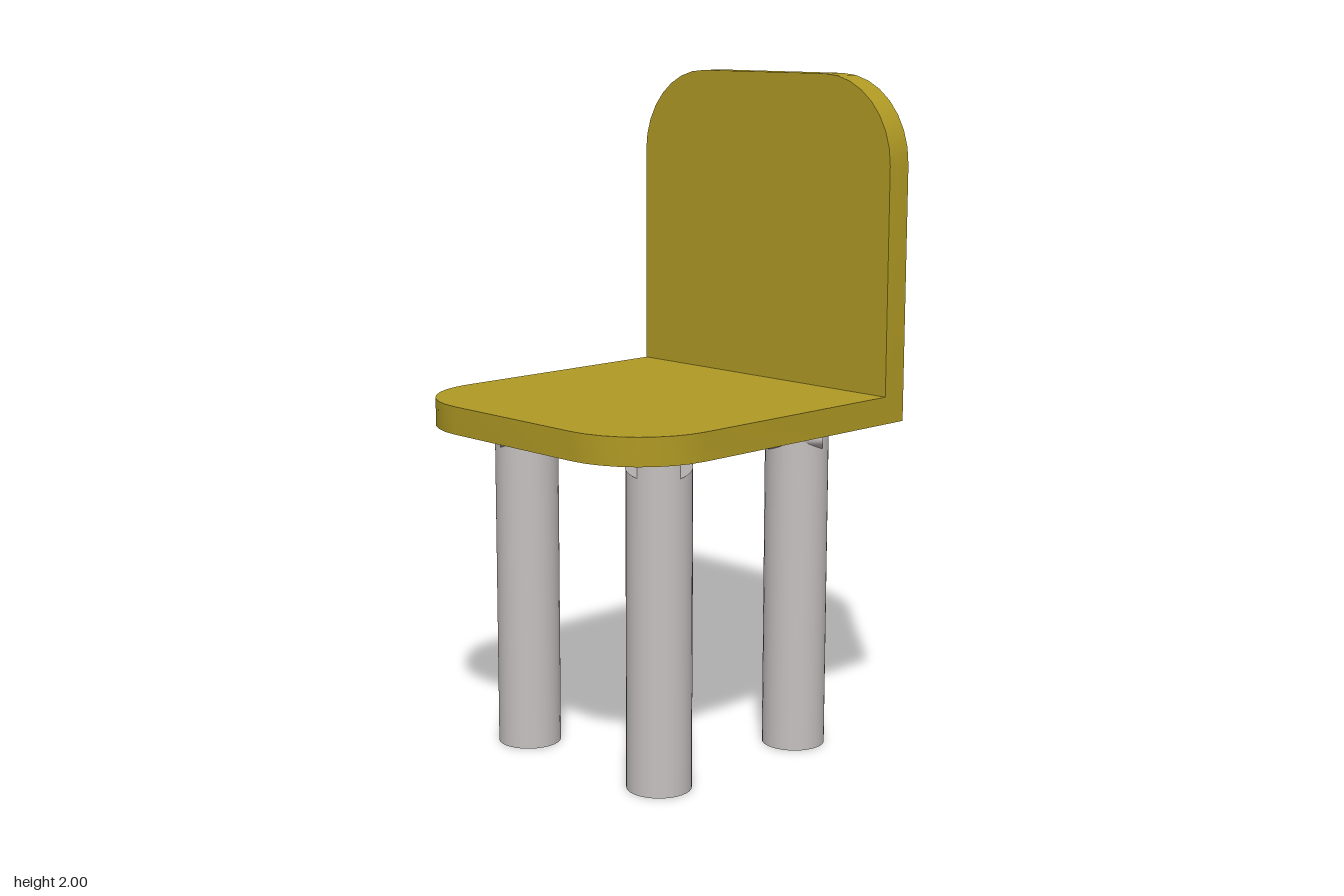
import * as THREE from 'three';
import { toCreasedNormals } from 'three/addons/utils/BufferGeometryUtils.js';

export function createModel() {
  const group = new THREE.Group();
  const mustard = new THREE.MeshStandardMaterial({ color: 0xb09a24 });
  mustard.name = 'mustard';
  const grey = new THREE.MeshStandardMaterial({ color: 0xc6c1c0 });
  grey.name = 'lightGrey';

  const add = (name, geometry, material) => {
    const mesh = new THREE.Mesh(geometry, material);
    mesh.name = name;
    group.add(mesh);
    return mesh;
  };

  // Panel with two rounded corners at its far end
  const panel = (halfWidth, bottom, top, depth, r) => {
    const s = new THREE.Shape();
    s.moveTo(-halfWidth, bottom);
    s.lineTo(halfWidth, bottom);
    s.lineTo(halfWidth, top - r);
    s.absarc(halfWidth - r, top - r, r, 0, Math.PI / 2, false);
    s.lineTo(-halfWidth + r, top);
    s.absarc(-halfWidth + r, top - r, r, Math.PI / 2, Math.PI, false);
    s.closePath();
    const g = new THREE.ExtrudeGeometry(s, { depth, bevelEnabled: false, curveSegments: 4 });
    return toCreasedNormals(g, 0.6);
  };

  // Backrest stands at the rear; the seat lies flat with its round corners in front
  add('backrest', panel(0.503, 0.995, 2, 0.081, 0.255), mustard).position.z = -0.539;
  const seat = add('seat', panel(0.503, -0.458, 0.539, 0.081, 0.255), mustard);
  seat.rotation.x = Math.PI / 2;
  seat.position.y = 1.076;

  // Four round legs, set slightly off centre
  const cx = -0.013, cz = -0.052, spread = 0.283;
  for (const [sx, side] of [[1, 'Left'], [-1, 'Right']]) {
    for (const [sz, end] of [[1, 'front'], [-1, 'back']]) {
      const leg = add(`${end}${side}Leg`, new THREE.CylinderGeometry(0.094, 0.094, 0.995, 32), grey);
      leg.position.set(cx + sx * spread, 0.4975, cz + sz * spread);
    }
  }

  // Flattened diagonal crossbars under the seat
  for (const s of [1, -1]) {
    const g = new THREE.CylinderGeometry(0.094, 0.094, 0.945, 32);
    g.rotateX(Math.PI / 2);
    g.scale(1, 0.045 / 0.094, 1);
    g.rotateY(s * Math.PI / 4);
    add(s > 0 ? 'crossbarA' : 'crossbarB', g, grey).position.set(cx, 0.953, cz);
  }

  return group;
}
